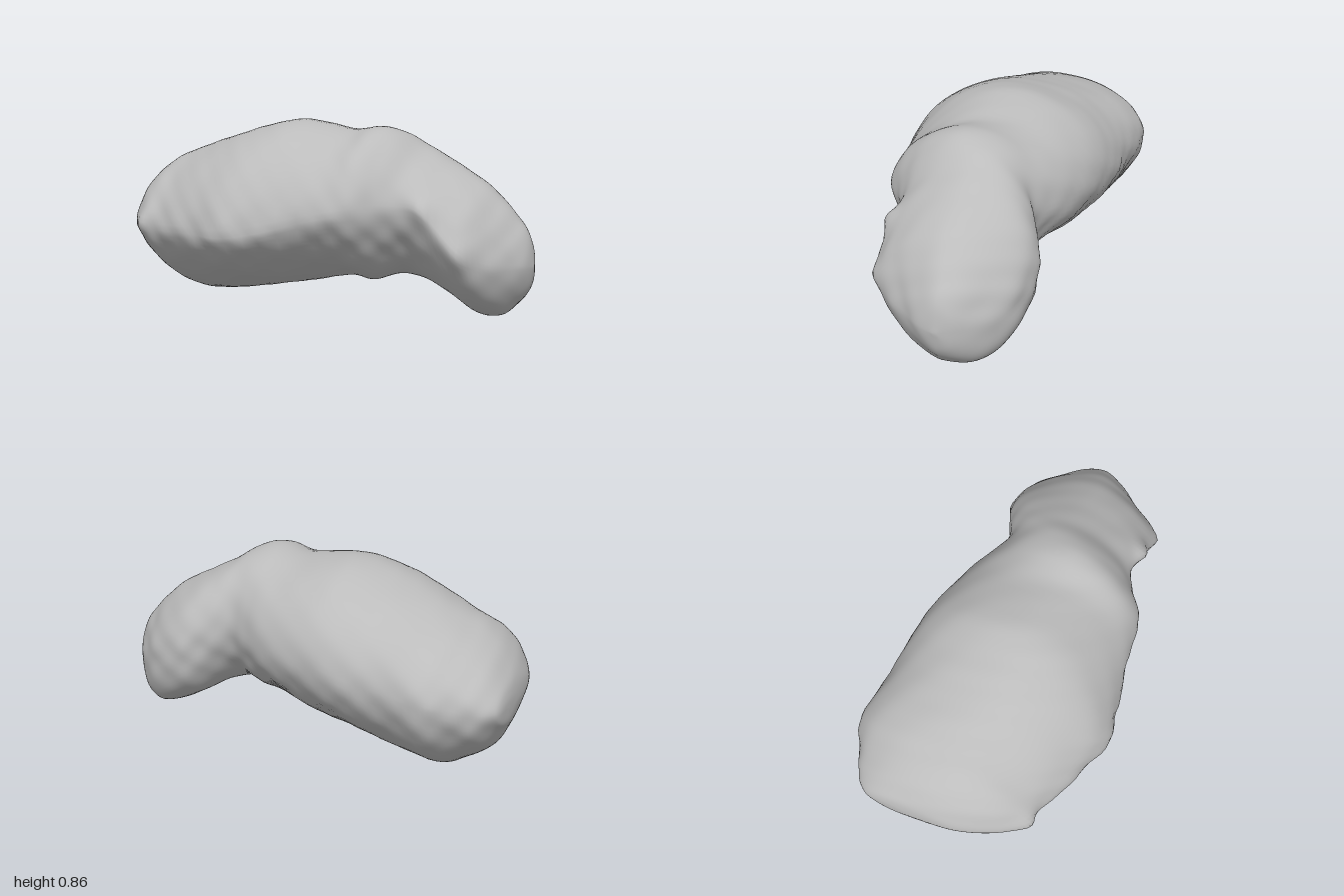
import * as THREE from 'three';

// Cross-sections along x: [x, top y, bottom y, back z, front z]
const SECTIONS = [
  [-1.00, 0.39, 0.37, -0.26, -0.24],
  [-0.995, 0.44, 0.32, -0.35, -0.11],
  [-0.97, 0.50, 0.26, -0.39, 0.08],
  [-0.90, 0.59, 0.14, -0.45, 0.25],
  [-0.80, 0.66, 0.06, -0.49, 0.355],
  [-0.68, 0.71, 0.01, -0.54, 0.40],
  [-0.48, 0.775, 0.025, -0.515, 0.485],
  [-0.30, 0.83, 0.06, -0.50, 0.54],
  [-0.12, 0.865, 0.09, -0.475, 0.51],
  [0.14, 0.83, 0.145, -0.395, 0.46],
  [0.28, 0.85, 0.14, -0.32, 0.435],
  [0.38, 0.83, 0.17, -0.285, 0.36],
  [0.48, 0.765, 0.16, -0.33, 0.31],
  [0.60, 0.70, 0.10, -0.37, 0.325],
  [0.76, 0.61, 0.015, -0.33, 0.325],
  [0.86, 0.52, 0.01, -0.26, 0.23],
  [0.93, 0.44, 0.07, -0.19, 0.13],
  [0.98, 0.36, 0.14, -0.11, 0.05],
  [1.00, 0.25, 0.23, -0.04, -0.02],
];

// Small outcrops: [x, y, z, radius, height]
const OUTCROPS = [
  [-0.81, 0.38, 0.36, 0.07, 0.035],
  [0.60, 0.52, 0.32, 0.06, 0.025],
  [0.77, 0.34, 0.33, 0.07, 0.025],
];

const STEPS = 6;
const SIDES = 80;

const bell = (x, centre, width) => Math.exp(-(((x - centre) / width) ** 2));

// Smooth blend of neighbouring sections
function sectionAt(u) {
  const last = SECTIONS.length - 1;
  const i = Math.min(Math.floor(u), last - 1);
  const t = u - i;
  const at = (k) => SECTIONS[Math.max(0, Math.min(last, k))];
  return at(i).map((b, n) => {
    const a = at(i - 1)[n], c = at(i + 1)[n], d = at(i + 2)[n];
    return b + 0.5 * t * (c - a + t * (2 * a - 5 * b + 4 * c - d + t * (3 * (b - c) + d - a)));
  });
}

// Roundness of each quadrant: the small lobe is flatter in front and fuller at the lower back
function quadrantPower(x, c, s) {
  const lobe = THREE.MathUtils.smoothstep(x, 0.42, 0.6);
  if (s > 0) return c > 0 ? 1.72 - 0.15 * lobe : 2.05 - 0.2 * lobe;
  return c > 0 ? 1.5 : 1.75 + 1.15 * lobe;
}

// Rounded-diamond cross-section; the widest line rises and dips along each flank
function surfacePoint([x, top, bottom, back, front], angle) {
  const c = Math.cos(angle), s = Math.sin(angle);
  const power = quadrantPower(x, c, s);
  const r = (Math.abs(c) ** power + Math.abs(s) ** power) ** (-1 / power);
  const middle = (top + bottom) / 2;
  const backY = middle + 0.07 * bell(x, -0.68, 0.24);
  const frontY = middle - 0.09 * bell(x, -0.2, 0.3) + 0.08 * bell(x, 0.58, 0.13);
  const midY = THREE.MathUtils.lerp(backY, frontY, (c + 1) / 2);
  const z = (back + front) / 2 + c * r * (front - back) / 2;
  const y = midY + s * r * (s > 0 ? top - midY : midY - bottom);
  return new THREE.Vector3(x, y, z);
}

// Weathered relief: shallow lumps, stronger on the rough flanks
function relief(p) {
  const lumps = Math.sin(p.x * 19 + p.y * 9) * Math.sin(p.z * 17 - p.x * 5)
    + Math.sin(p.x * 37 - p.z * 14) * Math.sin(p.y * 39 + p.x * 8);
  let height = lumps * (0.0015 + 0.004 * bell(p.y, 0.36, 0.15));
  for (const [x, y, z, radius, rise] of OUTCROPS) {
    height += rise * bell(Math.hypot(p.x - x, p.y - y, p.z - z), 0, radius * 0.8);
  }
  return height;
}

function buildRock() {
  const rings = (SECTIONS.length - 1) * STEPS;
  const positions = [], indices = [];
  for (let i = 0; i <= rings; i++) {
    const section = sectionAt(i / STEPS);
    const [x, top, bottom, back, front] = section;
    const centre = new THREE.Vector3(x, (top + bottom) / 2, (back + front) / 2);
    const fade = Math.min(1, i / 10, (rings - i) / 10);
    for (let j = 0; j < SIDES; j++) {
      const p = surfacePoint(section, (j / SIDES) * Math.PI * 2);
      const outward = p.clone().sub(centre).normalize();
      p.addScaledVector(outward, relief(p) * fade);
      positions.push(p.x, Math.max(0, p.y), p.z);
    }
  }
  for (let i = 0; i < rings; i++) {
    for (let j = 0; j < SIDES; j++) {
      const a = i * SIDES + j, b = i * SIDES + (j + 1) % SIDES;
      indices.push(a, a + SIDES, b, b, a + SIDES, b + SIDES);
    }
  }
  // Close both tips
  for (const ring of [0, rings]) {
    const [x, top, bottom, back, front] = sectionAt(ring / STEPS);
    const tip = positions.length / 3;
    positions.push(x, (top + bottom) / 2, (back + front) / 2);
    for (let j = 0; j < SIDES; j++) {
      const a = ring * SIDES + j, b = ring * SIDES + (j + 1) % SIDES;
      if (ring === 0) indices.push(tip, a, b);
      else indices.push(tip, b, a);
    }
  }
  const geometry = new THREE.BufferGeometry();
  geometry.setAttribute('position', new THREE.Float32BufferAttribute(positions, 3));
  geometry.setIndex(indices);
  geometry.computeVertexNormals();
  return geometry;
}

export function createModel() {
  const stone = new THREE.MeshStandardMaterial({ color: 0xbcbcbc });
  stone.name = 'grey stone';
  const group = new THREE.Group();
  group.name = 'asteroid';
  const rock = new THREE.Mesh(buildRock(), stone);
  rock.name = 'rockBody';
  group.add(rock);
  return group;
}
